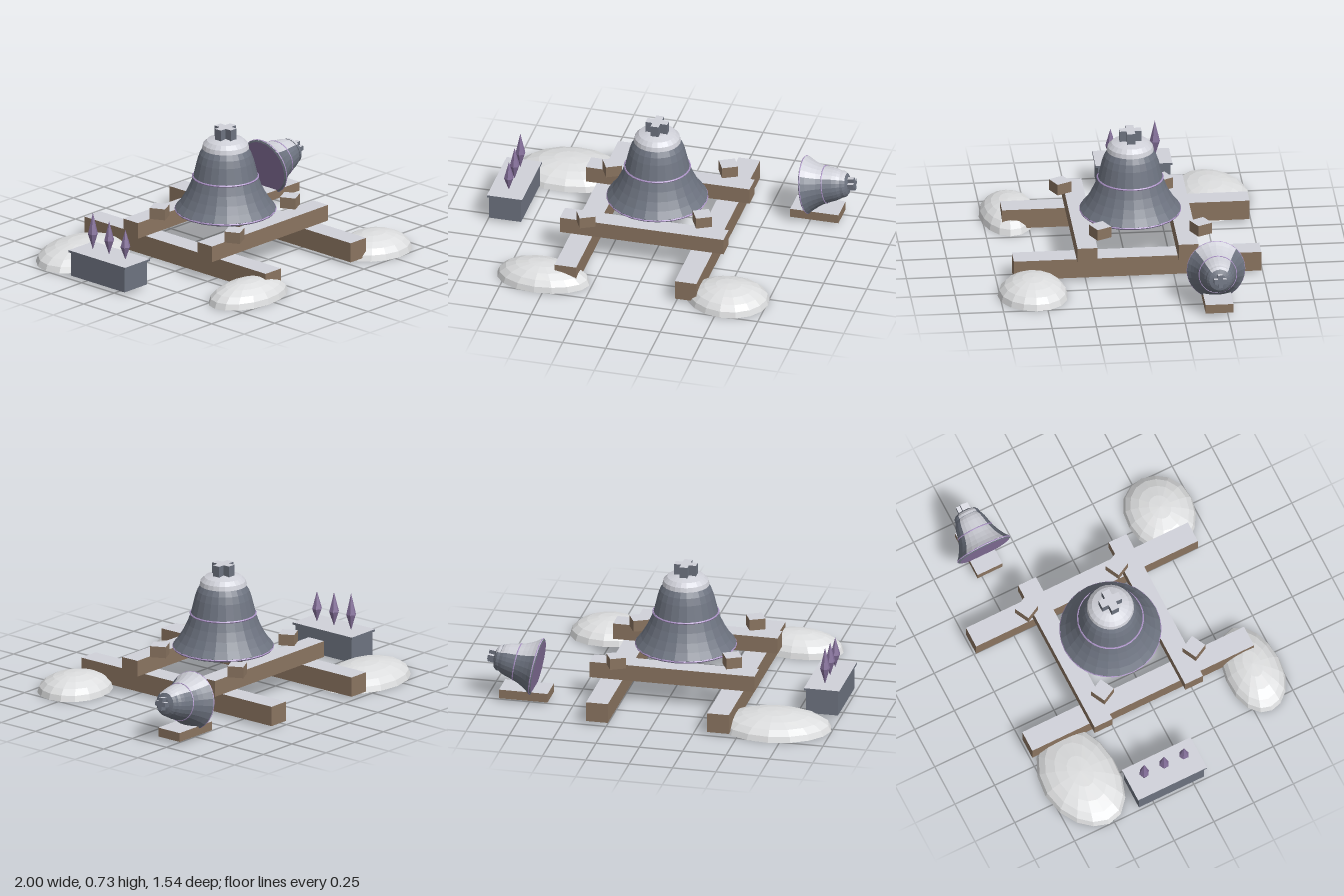
import * as THREE from 'three';

const make = (name, hex, extra = {}) => {
  const m = new THREE.MeshStandardMaterial({ color: hex, flatShading: true, ...extra });
  m.name = name;
  return m;
};

export function createModel() {
  const root = new THREE.Group();
  const wood = make('wood', 0x8a7460);
  const slate = make('slate', 0x6d7380);
  const frost = make('frost', 0xd0d1d9);
  const snow = make('snow', 0xdddedf);
  const lavender = make('lavender', 0xab93c6);
  const crystal = make('crystal', 0x85709b);

  // Bakes the placement in, then gives every upward-facing triangle the frost material
  function frosted(name, geometry, material, matrix, limit = 0.62, parent = root) {
    const g = (geometry.index ? geometry.toNonIndexed() : geometry).applyMatrix4(matrix);
    g.computeVertexNormals();
    g.clearGroups();
    const n = g.attributes.normal;
    let start = 0;
    const kind = i => (n.getY(i) > limit ? 1 : 0);
    for (let i = 3; i <= n.count; i += 3) {
      if (i === n.count || kind(i) !== kind(start)) {
        g.addGroup(start, i - start, kind(start));
        start = i;
      }
    }
    const mesh = new THREE.Mesh(g, [material, frost]);
    mesh.name = name;
    parent.add(mesh);
    return mesh;
  }

  // Box given by its limits on each axis, optionally turned about y
  function box(name, material, [x0, x1], [y0, y1], [z0, z1], turn = 0) {
    const m = new THREE.Matrix4().makeRotationY(turn)
      .setPosition((x0 + x1) / 2, (y0 + y1) / 2, (z0 + z1) / 2);
    return frosted(name, new THREE.BoxGeometry(x1 - x0, y1 - y0, z1 - z0), material, m);
  }

  // Timber frame
  for (const x of [-0.455, 0.243]) box('groundBeam', wood, [x, x + 0.125], [0.018, 0.132], [-0.74, 0.655]);
  for (const z of [-0.38, 0.19]) box('crossBeam', wood, [-0.518, 0.432], [0.132, 0.225], [z, z + 0.112]);
  for (const [x, z] of [[-0.36, -0.25], [0.272, -0.408], [0.272, 0.16], [-0.36, 0.325]]) {
    box('wedgeBlock', wood, [x - 0.046, x + 0.046], [0.225, 0.29], [z - 0.045, z + 0.045], 0.47);
  }
  box('bellPlank', wood, [0.64, 0.92], [0.018, 0.07], [-0.53, -0.373]);

  // Bell in its own frame: mouth at y = 0, crown at y = 0.5
  const bellProfile = [[0.262, 0], [0.282, 0.008], [0.284, 0.022], [0.253, 0.06], [0.226, 0.105],
    [0.202, 0.155], [0.184, 0.205], [0.172, 0.255], [0.16, 0.305], [0.146, 0.345], [0.124, 0.38]];
  const crownProfile = [[0.118, 0.372], [0.133, 0.377], [0.127, 0.402], [0.105, 0.424], [0.06, 0.438], [0, 0.442]];
  const lathe = p => new THREE.LatheGeometry(p.map(q => new THREE.Vector2(...q)), 24);

  function bell(name, matrix, crownLimit) {
    const group = new THREE.Group();
    group.name = name;
    root.add(group);
    frosted('bellBody', lathe(bellProfile), slate, matrix.clone(), 0.65, group);
    frosted('bellCrown', lathe(crownProfile), slate, matrix, crownLimit, group);
    // Cross-shaped hanger
    for (const [w, d] of [[0.126, 0.046], [0.046, 0.124]]) {
      const g = new THREE.BoxGeometry(w, 0.075, d).translate(0, 0.4625, 0);
      frosted('hanger', g, slate, matrix, 0.65, group);
    }
    // Inlaid bands
    for (const [r, y] of [[0.281, 0.016], [0.183, 0.21]]) {
      const g = new THREE.TorusGeometry(r, 0.006, 5, 32).rotateX(Math.PI / 2).translate(0, y, 0);
      const band = new THREE.Mesh(g.applyMatrix4(matrix), lavender);
      band.name = 'band';
      group.add(band);
    }
    // Closed mouth
    const mouth = new THREE.Mesh(
      new THREE.CircleGeometry(0.264, 24).rotateX(Math.PI / 2).applyMatrix4(matrix), crystal);
    mouth.name = 'mouth';
    group.add(mouth);
  }
  bell('largeBell', new THREE.Matrix4().makeTranslation(-0.043, 0.23, -0.04), 0.15);
  bell('smallBell', new THREE.Matrix4().makeRotationZ(-1.4)
    .scale(new THREE.Vector3(0.577, 0.577, 0.577)).setPosition(0.712, 0.195, -0.45), 0.65);

  // Crystal chest
  box('chestBody', slate, [-0.99, -0.805], [0.018, 0.157], [-0.34, 0.07]);
  box('chestLid', slate, [-1, -0.796], [0.157, 0.17], [-0.35, 0.083]);
  [[-0.26, 0.22], [-0.135, 0.2], [-0.01, 0.18]].forEach(([z, h]) => {
    const profile = [[0, 0], [0.029, h * 0.43], [0, h]].map(q => new THREE.Vector2(...q));
    const spike = new THREE.Mesh(new THREE.LatheGeometry(profile, 6), crystal);
    spike.name = 'crystalSpike';
    spike.position.set(-0.897, 0.17, z);
    root.add(spike);
  });

  // Snow mounds: slightly uneven half ellipsoids with flat undersides
  const mounds = [[-0.675, -0.55, 0.322, 0.22, 0.105, 0.06], [-0.54, 0.602, 0.27, 0.163, 0.11, -0.04],
    [0.53, 0.563, 0.235, 0.197, 0.108, 0]];
  mounds.forEach(([x, z, rx, rz, h, turn], k) => {
    const group = new THREE.Group();
    group.name = 'snowMound';
    const dome = new THREE.SphereGeometry(1, 16, 5, 0, Math.PI * 2, 0, Math.PI / 2);
    const base = new THREE.CircleGeometry(1, 16).rotateX(Math.PI / 2);
    for (const g of [dome, base]) {
      const p = g.attributes.position;
      for (let i = 0; i < p.count; i++) {
        const px = p.getX(i), pz = p.getZ(i);
        const s = 1 + 0.025 * Math.sin(3 * Math.atan2(pz, px) + k * 2) * Math.hypot(px, pz);
        p.setXYZ(i, px * s * rx, p.getY(i) * h, pz * s * rz);
      }
      g.computeVertexNormals();
      group.add(new THREE.Mesh(g, snow));
    }
    group.children[0].name = 'moundTop';
    group.children[1].name = 'moundBase';
    group.position.set(x, 0, z);
    group.rotation.y = turn;
    root.add(group);
  });

  return root;
}
